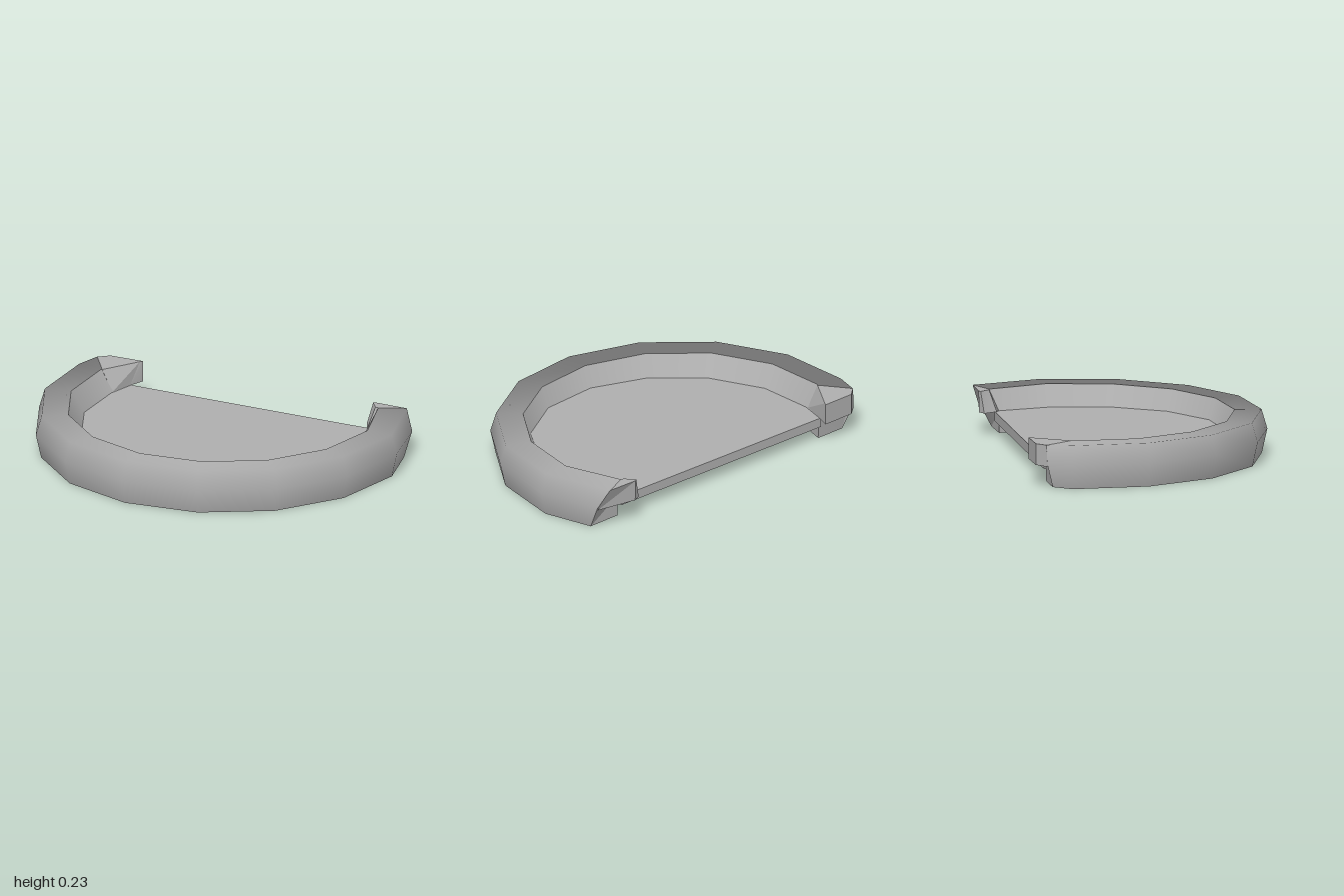
import * as THREE from 'three';
import { toCreasedNormals } from 'three/addons/utils/BufferGeometryUtils.js';

const CZ = -0.155;   // centre of the round wall along z
const FLOOR = 0.12, TOP = 0.235;
const material = new THREE.MeshStandardMaterial({ color: 0xafafaf, side: THREE.DoubleSide });

function makeGeometry(points, index) {
  const geometry = new THREE.BufferGeometry();
  geometry.setAttribute('position', new THREE.Float32BufferAttribute(points.flat(), 3));
  geometry.setIndex(index);
  return geometry;
}

function makeMesh(name, geometry) {
  const mesh = new THREE.Mesh(geometry, material);
  mesh.name = name;
  return mesh;
}

// Upright flat-sided block between two outlines of [x, z] points.
function prism(name, lower, y0, upper, y1) {
  const plan = ([x, z]) => new THREE.Vector2(x, -z);
  if (THREE.ShapeUtils.area(lower.map(plan)) < 0) {
    lower = [...lower].reverse();
    upper = [...upper].reverse();
  }
  const n = lower.length, index = [];
  for (let i = 0; i < n; i++) {
    const j = (i + 1) % n;
    index.push(i, j, j + n, i, j + n, i + n);
  }
  for (const [a, b, c] of THREE.ShapeUtils.triangulateShape(lower.map(plan), [])) index.push(c, b, a);
  for (const [a, b, c] of THREE.ShapeUtils.triangulateShape(upper.map(plan), [])) index.push(a + n, b + n, c + n);
  const points = [...lower.map(([x, z]) => [x, y0, z]), ...upper.map(([x, z]) => [x, y1, z])];
  return makeMesh(name, toCreasedNormals(makeGeometry(points, index), 0.3));
}

// Lengthwise bands of the wall: two section corners, each with its
// outward and upward normal, so the outside rolls softly over the rim.
const BANDS = [
  [[0, 0.96, -0.28], [1, 1, 0.03]],
  [[1, 1, 0.03], [2, 0.93, 0.37]],
  [[2, 0.93, 0.37], [3, 0.9, 0.44]],
  [[3, -0.88, 0.47], [4, -0.88, 0.47]],
  [[4, -1, 0], [5, -1, 0]],
  [[5, 0, -1], [0, 0, -1]],
];

function wallBand(sections, band) {
  const points = [], normals = [], index = [];
  sections.forEach((section, s) => {
    for (const [corner, out, up] of band) {
      const [x, y, z] = section[corner];
      const r = Math.hypot(x, z - CZ);
      points.push([x, y, z]);
      normals.push(...new THREE.Vector3(x / r * out, up, (z - CZ) / r * out).normalize().toArray());
    }
    const a = s * 2;
    if (s < sections.length - 1) index.push(a, a + 1, a + 3, a, a + 3, a + 2);
  });
  const geometry = makeGeometry(points, index);
  geometry.setAttribute('normal', new THREE.Float32BufferAttribute(normals, 3));
  return makeMesh('wallBand', geometry);
}

function wallEnd(section, reversed) {
  const across = ([x, y, z]) => new THREE.Vector2(Math.hypot(x, z - CZ), y);
  const faces = THREE.ShapeUtils.triangulateShape(section.map(across), []);
  const index = faces.flatMap(([a, b, c]) => (reversed ? [c, b, a] : [a, b, c]));
  return makeMesh('wallEnd', toCreasedNormals(makeGeometry(section, index), 0.3));
}

// Inner radius grows a little toward the front
const innerRadius = (a) => 0.773 + 0.036 * Math.max(0, Math.sin(a)) ** 2;
const polar = (a, r) => [Math.cos(a) * r, CZ + Math.sin(a) * r];

export function createModel() {
  const group = new THREE.Group();
  group.name = 'roundTray';

  // Nine corners of a fifteen-sided ring, from the left end round the front
  const angles = Array.from({ length: 9 }, (_, i) => THREE.MathUtils.degToRad(24 * (i + 1)));

  // Curved wall with a bulging outside, cut slantwise at both ends
  const section = (a) => {
    const inner = innerRadius(a);
    return [[0.991, 0], [1.02, 0.13], [0.989, TOP], [0.845, TOP], [inner, FLOOR], [inner, 0]]
      .map(([r, y]) => { const [x, z] = polar(a, r); return [x, y, z]; });
  };
  const leftEnd = [[0.957, 0, -0.035], [0.998, 0.13, -0.09], [0.967, TOP, -0.15],
    [0.815, TOP, -0.15], [0.775, FLOOR, -0.115], [0.775, 0, -0.112]];
  const rightEnd = [[-0.69, 0, -0.79], [-0.72, 0.13, -0.845], [-0.71, TOP, -0.845],
    [-0.675, TOP, -0.655], [-0.53, FLOOR, -0.725], [-0.53, 0, -0.72]];
  const sections = [leftEnd, ...angles.map(section), rightEnd];
  const wall = new THREE.Group();
  wall.name = 'wall';
  wall.add(...BANDS.map((band) => wallBand(sections, band)));
  wall.add(wallEnd(leftEnd, true), wallEnd(rightEnd, false));
  group.add(wall);

  // Floor slab with a straight back edge, raised off the ground
  const rim = [[0.78, -0.14], ...angles.map((a) => polar(a, innerRadius(a) + 0.008)), [-0.53, -0.735]];
  group.add(prism('floor', rim, 0.068, rim, FLOOR));

  // Hooked tips that overhang the wall ends, sloping inward like the wall
  group.add(prism('leftHook',
    [[0.998, -0.09], [0.8, -0.225], [0.752, -0.225], [0.757, -0.14], [0.8, -0.12]], FLOOR,
    [[0.967, -0.15], [0.8, -0.228], [0.785, -0.225], [0.8, -0.16], [0.815, -0.15]], TOP));
  group.add(prism('rightHook',
    [[-0.72, -0.845], [-0.64, -0.865], [-0.465, -0.79], [-0.53, -0.725], [-0.62, -0.62]], FLOOR,
    [[-0.71, -0.845], [-0.64, -0.865], [-0.465, -0.79], [-0.48, -0.78], [-0.675, -0.655]], TOP));

  return group;
}
